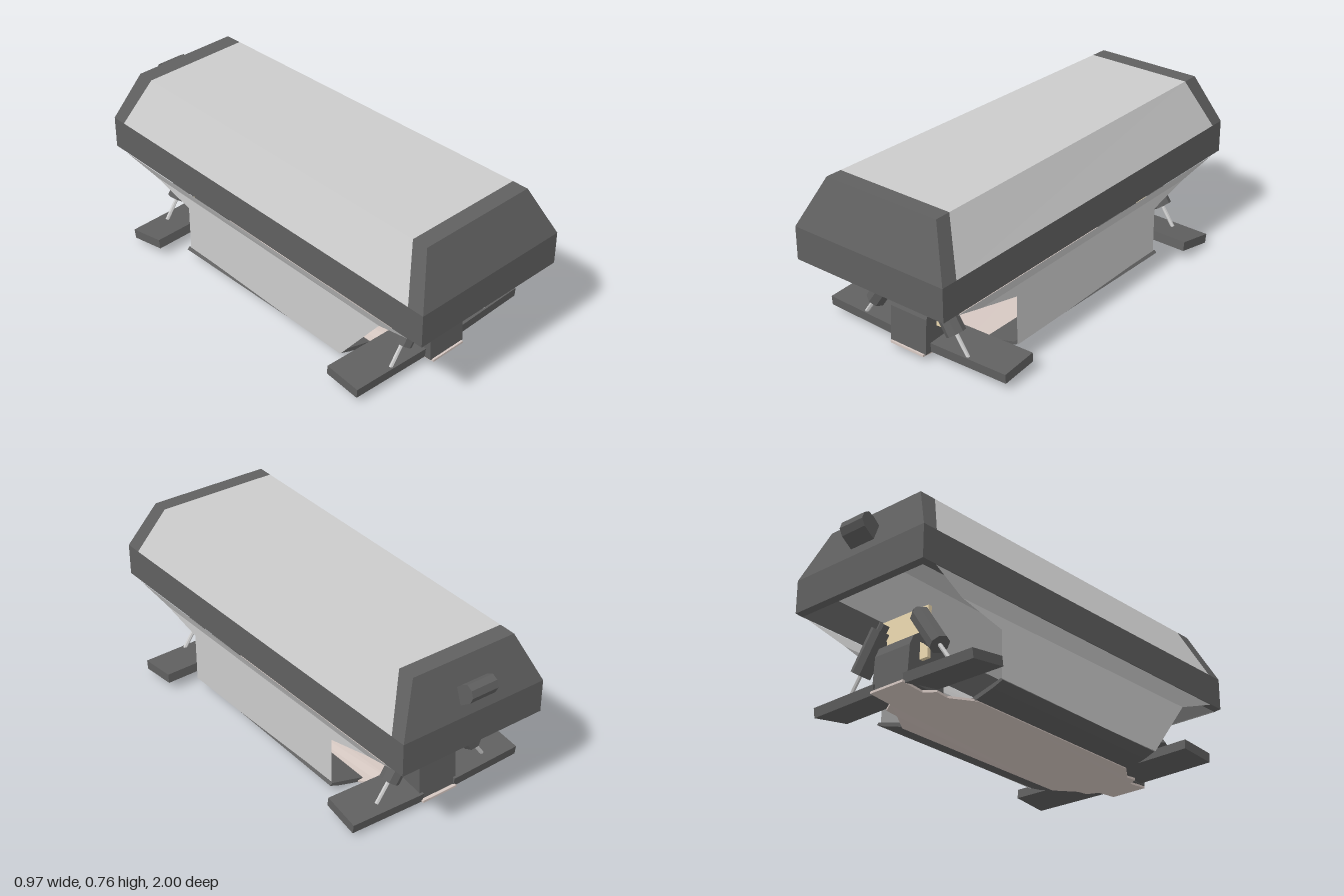
import * as THREE from 'three';

const mat = (color) => new THREE.MeshStandardMaterial({ color, flatShading: true, side: THREE.DoubleSide });
const grey = mat(0xcccccc), dark = mat(0x606060), cream = mat(0xecd9b0), pink = mat(0xd6c8c2);

function add(parent, name, geometry, material) {
  const m = new THREE.Mesh(geometry, material);
  m.name = name;
  parent.add(m);
  return m;
}

// Flat polygons, each a list of [x, y, z] corners in fan order
function faces(polys) {
  const pos = [];
  for (const p of polys)
    for (let i = 1; i < p.length - 1; i++) pos.push(...p[0], ...p[i], ...p[i + 1]);
  const g = new THREE.BufferGeometry();
  g.setAttribute('position', new THREE.Float32BufferAttribute(pos, 3));
  g.computeVertexNormals();
  return g;
}

const shape = (pts) => new THREE.Shape(pts.map(([a, b]) => new THREE.Vector2(a, b)));

// Extrude an x-y outline along z, centred on z = 0
function slabZ(pts, depth) {
  return new THREE.ExtrudeGeometry(shape(pts), { depth, bevelEnabled: false }).translate(0, 0, -depth / 2);
}

// Extrude a z-y outline across the width
function slabX(pts, width) {
  return slabZ(pts.map(([z, y]) => [-z, y]), width).rotateY(Math.PI / 2);
}

const mirrorX = (pts) => [...pts, ...pts.slice().reverse().map(([x, y]) => [-x, y])];

// Cylinder between two points
function rod(parent, name, a, b, r, sides, material) {
  const A = new THREE.Vector3(...a), B = new THREE.Vector3(...b);
  const d = B.clone().sub(A);
  const m = add(parent, name, new THREE.CylinderGeometry(r, r, d.length(), sides), material);
  m.position.copy(A).add(B).multiplyScalar(0.5);
  m.quaternion.setFromUnitVectors(new THREE.Vector3(0, 1, 0), d.normalize());
}

// Body shell: stacked eight-point rings, split into lid, side bands and end caps
function buildShell() {
  const g = new THREE.Group();
  g.name = 'bodyShell';
  // y, front half width, back half width, front z, front seam z, back seam z, back z
  const rings = [
    [0.38, 0.375, 0.34, 0.98, 0.92, -0.88, -0.93],
    [0.395, 0.395, 0.36, 1.0, 0.92, -0.88, -0.95],
    [0.545, 0.395, 0.36, 1.0, 0.92, -0.88, -0.95],
    [0.765, 0.29, 0.257, 0.91, 0.835, -0.79, -0.87],
  ].map(([y, wf, wb, zf, sf, sb, zb]) => {
    const right = [zf, sf, sb, zb].map((z) => [wb + (wf - wb) * (z - zb) / (zf - zb), y, z]);
    return [...right, ...right.slice().reverse().map(([x, yy, z]) => [-x, yy, z])];
  });
  const caps = [], bands = [], lid = [];
  for (let r = 0; r < 3; r++) {
    for (let i = 0; i < 8; i++) {
      const j = (i + 1) % 8, lo = rings[r], hi = rings[r + 1];
      const list = i % 4 !== 1 ? caps : r === 2 ? lid : bands;
      list.push([lo[i], lo[j], hi[j], hi[i]]);
    }
  }
  const t = rings[3];
  caps.push([t[7], t[0], t[1], t[6]], [t[5], t[2], t[3], t[4]]);
  lid.push([t[6], t[1], t[2], t[5]]);
  add(g, 'endCaps', faces(caps), dark);
  add(g, 'sideBands', faces(bands), dark);
  add(g, 'lid', faces(lid), grey);
  return g;
}

// Tub walls: sloped flange under the shell and an upright wall below it
function buildTub() {
  const g = new THREE.Group();
  g.name = 'tub';
  const wallX = (z) => 0.346 + 0.02 * z;
  const rimX = (z) => 0.377 + 0.018 * z;
  for (const s of [1, -1]) {
    const wall = [[0.74, 0.33], [0.52, 0.28], [0.52, 0.05], [-0.47, 0.05], [-0.47, 0.275], [-0.7, 0.33]]
      .map(([z, y]) => [s * wallX(z), y, z]);
    const flange = [
      [s * rimX(0.92), 0.392, 0.92], [s * wallX(0.74), 0.33, 0.74],
      [s * wallX(-0.7), 0.33, -0.7], [s * rimX(-0.88), 0.392, -0.88],
    ];
    // Fan starts at a lower corner so the notched outline stays filled correctly
    const fan = [...wall.slice(1), wall[0]];
    const polys = [fan, flange];
    if (s < 0) polys.forEach((p) => p.reverse());
    add(g, s > 0 ? 'leftWall' : 'rightWall', faces(s > 0 ? polys : [[...wall.slice(1), wall[0]].reverse(), flange]), grey);
    // Dark sill joining the wall to the floor
    const sill = [[0.18, 0.004], [0.21, 0.004], [0.3, 0.03], [0.35, 0.05], [0.34, 0.06], [0.18, 0.016]]
      .map(([x, y]) => [s * x, y]);
    add(g, s > 0 ? 'leftSill' : 'rightSill', slabZ(sill, 1.0), dark).position.z = 0.02;
  }
  return g;
}

// Floor plate with narrow tabs that turn up at both ends
function buildFloor() {
  const outline = mirrorX([
    [0.09, 0.8], [0.09, 0.69], [0.14, 0.66], [0.14, 0.6], [0.21, 0.5],
    [0.21, -0.47], [0.14, -0.57], [0.14, -0.63], [0.09, -0.66], [0.09, -0.77],
  ]);
  const geo = slabZ(outline, 0.01).rotateX(Math.PI / 2);
  const p = geo.attributes.position;
  for (let i = 0; i < p.count; i++) {
    const lift = Math.max(0, Math.abs(p.getZ(i)) - 0.55) * 0.09;
    p.setY(i, p.getY(i) + 0.005 + lift);
  }
  geo.computeVertexNormals();
  return geo;
}

// Suspension end: bulkhead, cross arm, tower and two dampers; dir is +1 front, -1 back
function buildSuspension(dir, o) {
  const g = new THREE.Group();
  g.name = dir > 0 ? 'frontSuspension' : 'rearSuspension';
  const b = o.bulkhead;
  const profile = [
    [b, 0.025], [b, 0.175], [b + 0.05, 0.205], [b + 0.05, 0.267], [b + 0.13, 0.267],
    [b + 0.175, 0.235], [b + 0.195, 0.19], [b + 0.205, 0.03],
  ].map(([z, y]) => [dir * z, y]);
  add(g, 'bulkhead', slabX(profile, 0.195), dark);

  for (const s of [1, -1]) {
    const arm = add(g, 'arm', new THREE.BoxGeometry(o.reach - 0.08, 0.043, 0.178), dark);
    arm.position.set(s * (o.reach + 0.08) / 2, o.armY, dir * o.armZ);
    arm.rotation.set(dir * o.tilt, s * dir * 0.03, 0);
    const z = dir * o.damperZ;
    rod(g, 'damperCap', [s * 0.092, 0.35, z], [s * 0.125, 0.305, z], 0.023, 8, dark);
    rod(g, 'damperBody', [s * 0.11, 0.325, z], [s * 0.222, 0.16, z], 0.044, 8, dark);
    rod(g, 'damperRod', [s * 0.215, 0.17, z], [s * 0.285, 0.07, z], 0.009, 6, grey);
  }

  const tower = mirrorX([
    [0.14, 0.37], [0.14, 0.325], [0.09, 0.275], [0.09, 0.225], [0.14, 0.18], [0.14, 0.14],
  ]);
  add(g, 'tower', slabZ(tower, 0.018), cream).position.z = dir * o.towerZ;
  return g;
}

export function createModel() {
  const model = new THREE.Group();
  model.name = 'buggyChassis';
  model.add(buildShell(), buildTub());
  add(model, 'floorPlate', buildFloor(), pink);
  model.add(
    buildSuspension(1, { bulkhead: 0.585, reach: 0.482, armY: 0.06, armZ: 0.665, tilt: 0.08, damperZ: 0.74, towerZ: 0.712 }),
    buildSuspension(-1, { bulkhead: 0.55, reach: 0.437, armY: 0.055, armZ: 0.668, tilt: 0.16, damperZ: 0.705, towerZ: 0.68 }),
  );
  // Rounded knob on the back cap
  const knob = [
    [-0.88, 0.59], [-0.93, 0.59], [-0.985, 0.63], [-1.0, 0.66],
    [-0.99, 0.69], [-0.965, 0.705], [-0.935, 0.69], [-0.88, 0.64],
  ];
  add(model, 'tailKnob', slabX(knob, 0.13), dark);
  return model;
}
